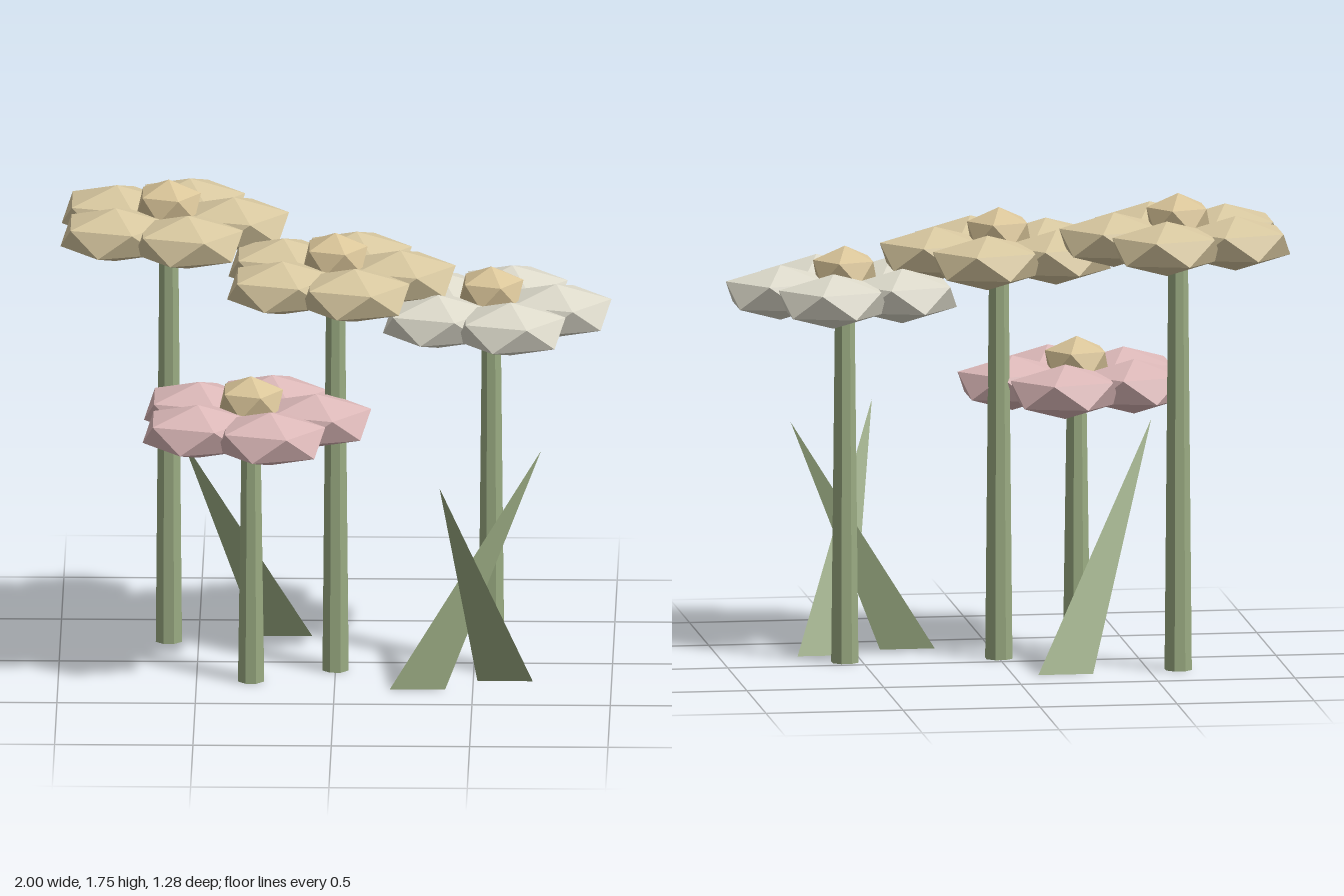
import * as THREE from 'three';

const flat = (name, color, extra = {}) => {
  const m = new THREE.MeshStandardMaterial({ color, flatShading: true, ...extra });
  m.name = name;
  return m;
};

// Faceted ball standing on one of its corners, squashed to the given radii
function gem(rx, ry, rz) {
  const g = new THREE.IcosahedronGeometry(1, 0);
  g.rotateX(-Math.atan((1 + Math.sqrt(5)) / 2));
  g.rotateY(Math.PI / 2);
  g.scale(rx, ry, rz);
  g.computeVertexNormals();
  return g;
}

export function createModel() {
  const green = flat('stem green', 0x9aab82);
  const leafGreen = flat('leaf green', 0x9aab82, { side: THREE.DoubleSide });
  const tan = flat('petal tan', 0xd8c8a0);
  const cream = flat('petal cream', 0xdddacb);
  const pink = flat('petal pink', 0xdcb8b8);
  const gold = flat('heart gold', 0xdac599);

  const model = new THREE.Group();
  model.name = 'flowers';
  const petalGeo = gem(0.223, 0.1, 0.19);
  const heartGeo = gem(0.13, 0.09, 0.13);

  const add = (parent, name, geo, mat, x, y, z) => {
    const mesh = new THREE.Mesh(geo, mat);
    mesh.name = name;
    mesh.position.set(x, y, z);
    parent.add(mesh);
    return mesh;
  };

  // Flower: tapered stem, ring of five petals and a raised heart
  function flower(name, x, z, h, petalMat) {
    const g = new THREE.Group();
    g.name = name;
    g.position.set(x, 0, z);
    const stemGeo = new THREE.CylinderGeometry(0.036, 0.051, h, 8);
    stemGeo.rotateY(Math.PI / 8);
    add(g, 'stem', stemGeo, green, 0, h / 2, 0);
    for (let i = 0; i < 5; i++) {
      const a = (i / 5) * Math.PI * 2;
      add(g, 'petal', petalGeo, petalMat, 0.235 * Math.cos(a), h, 0.235 * Math.sin(a));
    }
    add(g, 'heart', heartGeo, gold, 0, h + 0.076, 0);
    model.add(g);
  }
  flower('tallFlower', -0.608, -0.255, 1.58, tan);
  flower('middleFlower', 0, 0.078, 1.487, tan);
  flower('creamFlower', 0.563, 0.07, 1.36, cream);
  flower('pinkFlower', -0.303, 0.215, 0.985, pink);

  // Leaf: one flat blade from a base line on the ground to a leaning tip
  function leaf(baseX, baseZ, tipX, tipZ) {
    const geo = new THREE.BufferGeometry();
    geo.setAttribute('position', new THREE.Float32BufferAttribute([
      baseX - 0.1, 0, baseZ, baseX + 0.1, 0, baseZ, tipX, 0.865, tipZ], 3));
    geo.computeVertexNormals();
    add(model, 'leaf', geo, leafGreen, 0, 0, 0);
  }
  leaf(-0.19, -0.31, -0.555, 0.07);
  leaf(0.3, 0.32, 0.745, 0.185);
  leaf(0.615, 0.215, 0.385, 0.64);

  return model;
}
